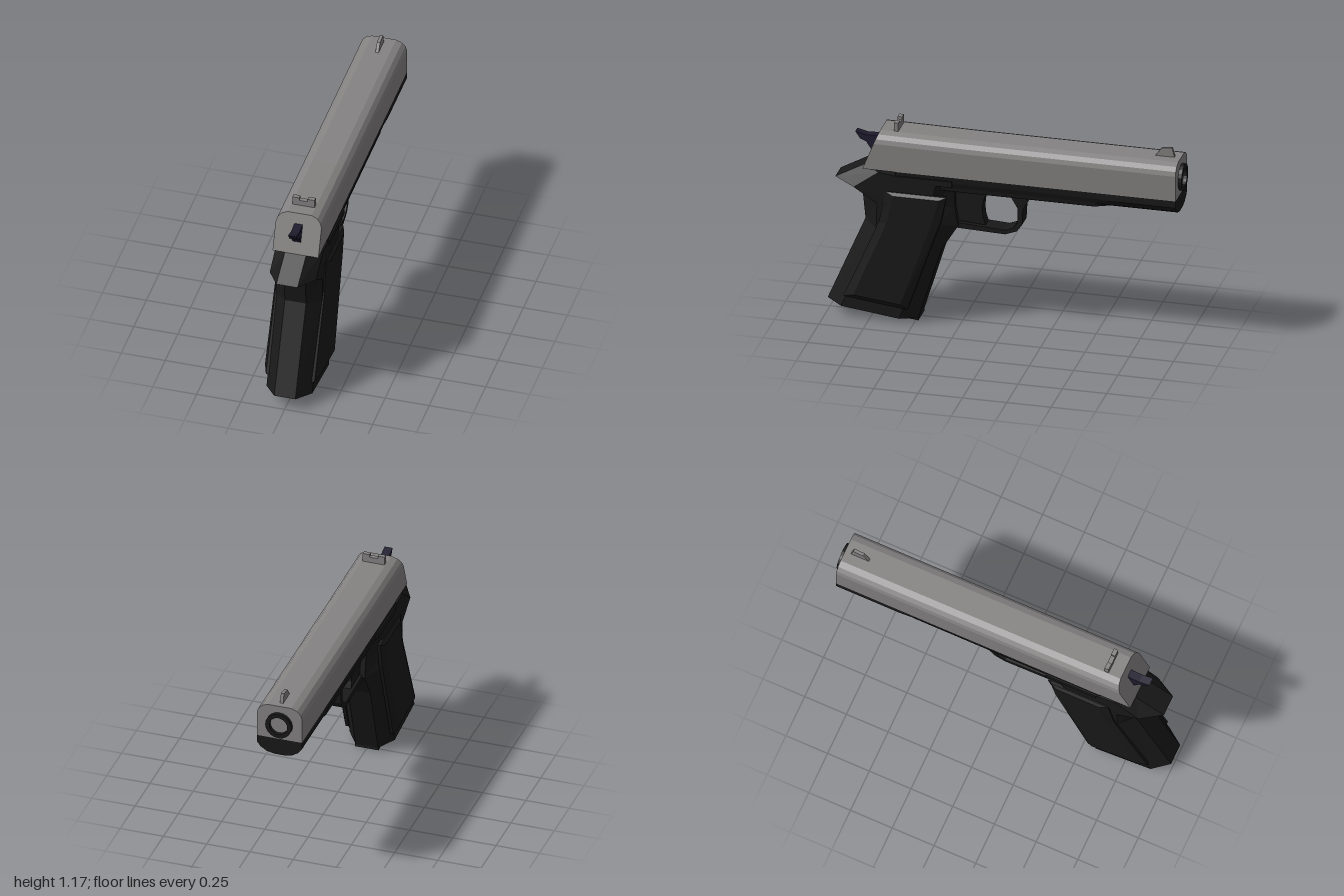
import * as THREE from 'three';

const paint = (color) => new THREE.MeshStandardMaterial({ color, flatShading: true });

// Skin a list of closed convex loops (arrays of [x, y, z]) and cap both ends, faces outward.
function loft(loops) {
  const tris = [];
  const n = loops[0].length;
  for (let i = 0; i < loops.length - 1; i++) {
    for (let j = 0; j < n; j++) {
      const k = (j + 1) % n;
      const [a, b, c, d] = [loops[i][j], loops[i][k], loops[i + 1][k], loops[i + 1][j]];
      tris.push([a, b, c], [a, c, d]);
    }
  }
  const cap = (loop, flip) => {
    const mid = [0, 1, 2].map((q) => loop.reduce((s, p) => s + p[q], 0) / n);
    loop.forEach((p, j) => {
      const next = loop[(j + 1) % n];
      tris.push(flip ? [mid, next, p] : [mid, p, next]);
    });
  };
  cap(loops[0], true);
  cap(loops[loops.length - 1], false);
  // Signed volume tells whether the winding must be reversed.
  const V = (p) => new THREE.Vector3(...p);
  const volume = tris.reduce((s, [a, b, c]) => s + V(a).dot(V(b).cross(V(c))), 0);
  const out = volume < 0 ? tris.map(([a, b, c]) => [a, c, b]) : tris;
  const geo = new THREE.BufferGeometry();
  geo.setAttribute('position', new THREE.Float32BufferAttribute(out.flat(2), 3));
  geo.computeVertexNormals();
  return geo;
}

// Side profile of [z, y] points, extruded symmetrically across x.
function plate(points, halfWidth) {
  const shape = new THREE.Shape(points.map(([z, y]) => new THREE.Vector2(z, y)));
  const geo = new THREE.ExtrudeGeometry(shape, { depth: halfWidth * 2, bevelEnabled: false });
  return geo.translate(0, 0, -halfWidth).rotateY(-Math.PI / 2);
}

// Close a right-hand half section [x, y] by mirroring it.
const mirrorSection = (half) => [...half, ...half.map(([x, y]) => [-x, y]).reverse()];

export function createModel() {
  const group = new THREE.Group();
  const steel = paint(0x858282);
  const black = paint(0x1a1919);
  const navy = paint(0x1f1b2e);
  const add = (name, geo, mat) => {
    const mesh = new THREE.Mesh(geo, mat);
    mesh.name = name;
    group.add(mesh);
    return mesh;
  };

  // Slide: rounded top, raked rear face
  const slideSection = mirrorSection([
    [0.13, 0.905], [0.13, 1.06], [0.122, 1.085], [0.102, 1.107], [0.068, 1.12],
  ]);
  add('slide', loft([
    slideSection.map(([x, y]) => [x, y, 0.785 - (y - 0.905) * 0.4]),
    slideSection.map(([x, y]) => [x, y - (y > 1 ? 0.005 : 0), 0.2]),
    slideSection.map(([x, y]) => [x, y - (y > 1 ? 0.007 : 0), -0.98]),
  ]), steel);

  // Frame rail: squarer at the rear, rounded below the muzzle
  const rear = mirrorSection([[0.13, 0.905], [0.127, 0.87], [0.115, 0.84], [0.11, 0.815], [0.09, 0.805]]);
  const nose = mirrorSection([[0.13, 0.905], [0.13, 0.865], [0.11, 0.837], [0.075, 0.815], [0.03, 0.805]]);
  add('frame', loft([
    rear.map(([x, y]) => [x, y, 0.6]),
    rear.map(([x, y]) => [x, y, -0.52]),
    nose.map(([x, y]) => [x, y, -0.6]),
    nose.map(([x, y]) => [x, y, -0.98]),
  ]), black);

  // Grip with tang: [back z, back y, front z, front y, half width]
  const gripLevels = [
    [0.998, 0.08, 0.485, 0.015, 0.13],
    [0.785, 0.58, 0.355, 0.44, 0.13],
    [0.8, 0.73, 0.262, 0.59, 0.13],
    [0.955, 0.81, 0.28, 0.7, 0.132],
    [0.785, 0.905, 0.28, 0.84, 0.132],
  ];
  add('grip', loft(gripLevels.map(([zb, yb, zf, yf, w]) => {
    const at = (x, t) => [x, yb + (yf - yb) * t, zb + (zf - zb) * t];
    return [
      at(0.06, 0), at(w, 0.18), at(w, 0.82), at(0.065, 1),
      at(-0.065, 1), at(-w, 0.82), at(-w, 0.18), at(-0.06, 0),
    ];
  })), black);

  // Grip panels with sloped edges, one per side
  const panelBase = [[0.655, 0.785], [0.31, 0.785], [0.34, 0.64], [0.53, 0.09], [0.89, 0.135], [0.69, 0.6]];
  const panelTop = [[0.61, 0.768], [0.35, 0.768], [0.385, 0.64], [0.565, 0.125], [0.83, 0.155], [0.645, 0.6]];
  for (const side of [1, -1]) {
    add(side > 0 ? 'leftGripPanel' : 'rightGripPanel', loft([
      panelBase.map(([z, y]) => [side * 0.12, y, z]),
      panelBase.map(([z, y]) => [side * 0.138, y, z]),
      panelTop.map(([z, y]) => [side * (0.162 - y * 0.013), y, z]),
    ]), black);
    // Thin lever strip above the panel
    const lever = add(side > 0 ? 'leftLever' : 'rightLever', new THREE.BoxGeometry(0.012, 0.035, 0.3), black);
    lever.position.set(side * 0.13, 0.865, 0.43);
  }

  // Magazine base plate
  add('magazineBase', plate([[0.9, 0.085], [0.89, 0.053], [0.485, 0], [0.49, 0.04]], 0.068), black);

  // Trigger guard
  add('triggerGuard', plate([
    [-0.02, 0.81], [-0.07, 0.725], [-0.068, 0.64], [-0.045, 0.605], [0, 0.588], [0.3, 0.606],
    [0.3, 0.574], [0, 0.563], [-0.065, 0.588], [-0.095, 0.63], [-0.1, 0.72], [-0.145, 0.81],
  ], 0.05), black);

  // Trigger with a concave face
  add('trigger', plate([
    [0.3, 0.79], [0.11, 0.79], [0.128, 0.74], [0.133, 0.69], [0.128, 0.64], [0.115, 0.6], [0.3, 0.612],
  ], 0.035), black);

  // Hammer
  add('hammer', plate([
    [0.852, 1.075], [0.79, 1.06], [0.71, 1.065], [0.71, 0.99], [0.757, 0.968], [0.79, 1.02], [0.825, 1.035],
  ], 0.023), navy);

  // Sights
  add('frontSight', plate([[-0.835, 1.11], [-0.87, 1.16], [-0.93, 1.167], [-0.945, 1.11]], 0.009), steel);
  const notch = new THREE.Shape([
    [-0.063, 1.11], [0.063, 1.11], [0.063, 1.168], [0.024, 1.168],
    [0.024, 1.152], [-0.024, 1.152], [-0.024, 1.168], [-0.063, 1.168],
  ].map((p) => new THREE.Vector2(...p)));
  add('rearSight', new THREE.ExtrudeGeometry(notch, { depth: 0.025, bevelEnabled: false }).translate(0, 0, 0.6), steel);

  // Muzzle ring around the bore
  const ring = new THREE.Shape().absarc(0, 0, 0.076, 0, Math.PI * 2);
  ring.holes.push(new THREE.Path().absarc(0, 0, 0.052, 0, Math.PI * 2, true));
  add('muzzleRing', new THREE.ExtrudeGeometry(ring, { depth: 0.03, bevelEnabled: false, curveSegments: 10 })
    .translate(0, 0.997, -1), black);

  return group;
}
